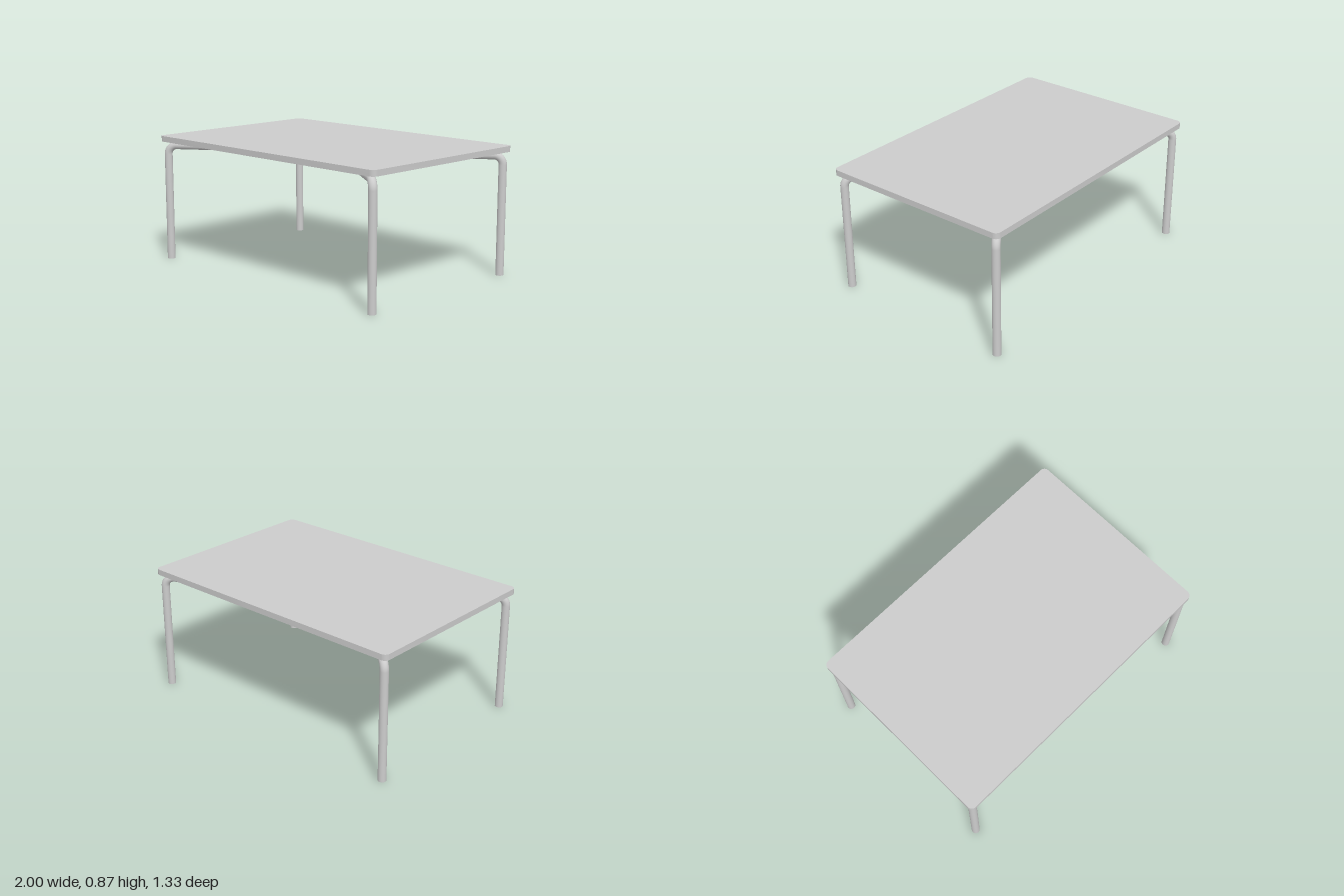
import * as THREE from 'three';
import { toCreasedNormals } from 'three/addons/utils/BufferGeometryUtils.js';

const material = new THREE.MeshStandardMaterial({ color: 0xcccccc });

function addMesh(parent, name, geometry, x = 0, y = 0, z = 0) {
  const mesh = new THREE.Mesh(geometry, material);
  mesh.name = name;
  mesh.position.set(x, y, z);
  parent.add(mesh);
  return mesh;
}

// Rounded rectangle lying flat, extruded upwards from y = 0
function roundedSlab(halfX, halfZ, radius, height) {
  const shape = new THREE.Shape();
  const cx = halfX - radius, cz = halfZ - radius;
  shape.absarc(cx, cz, radius, 0, Math.PI / 2);
  shape.absarc(-cx, cz, radius, Math.PI / 2, Math.PI);
  shape.absarc(-cx, -cz, radius, Math.PI, Math.PI * 1.5);
  shape.absarc(cx, -cz, radius, Math.PI * 1.5, Math.PI * 2);
  const slab = new THREE.ExtrudeGeometry(shape, { depth: height, bevelEnabled: false, curveSegments: 8 });
  slab.rotateX(-Math.PI / 2);
  return toCreasedNormals(slab, 0.6);
}

// Bent tube: upright post, quarter-turn elbow and an arm running inwards (-x)
function bentLeg() {
  const r = 0.027, bend = 0.06, armY = 0.802, armLength = 0.82;
  const postHeight = armY - bend;
  const leg = new THREE.Group();
  addMesh(leg, 'legPost', new THREE.CylinderGeometry(r, r, postHeight, 32), 0, postHeight / 2);
  addMesh(leg, 'legElbow', new THREE.TorusGeometry(bend, r, 32, 16, Math.PI / 2), -bend, postHeight);
  const arm = addMesh(leg, 'legArm', new THREE.CylinderGeometry(r, r, armLength, 32), -bend - armLength / 2, armY);
  arm.rotation.z = Math.PI / 2;
  return leg;
}

export function createModel() {
  const table = new THREE.Group();
  table.name = 'table';

  // Top
  addMesh(table, 'tableTop', roundedSlab(1, 0.667, 0.035, 0.039), 0, 0.829);

  // Block under the top that holds the four arms
  addMesh(table, 'centreBlock', new THREE.BoxGeometry(0.53, 0.055, 0.4), 0, 0.8015);

  // Legs, each turned so that its arm runs to the block
  for (const sx of [1, -1]) {
    for (const sz of [1, -1]) {
      const leg = bentLeg();
      leg.name = (sz > 0 ? 'front' : 'back') + (sx > 0 ? 'Left' : 'Right') + 'Leg';
      leg.position.set(sx * 0.958, 0, sz * 0.625);
      leg.rotation.y = -Math.atan2(sz * 0.48, sx * 0.695);
      table.add(leg);
    }
  }
  return table;
}
